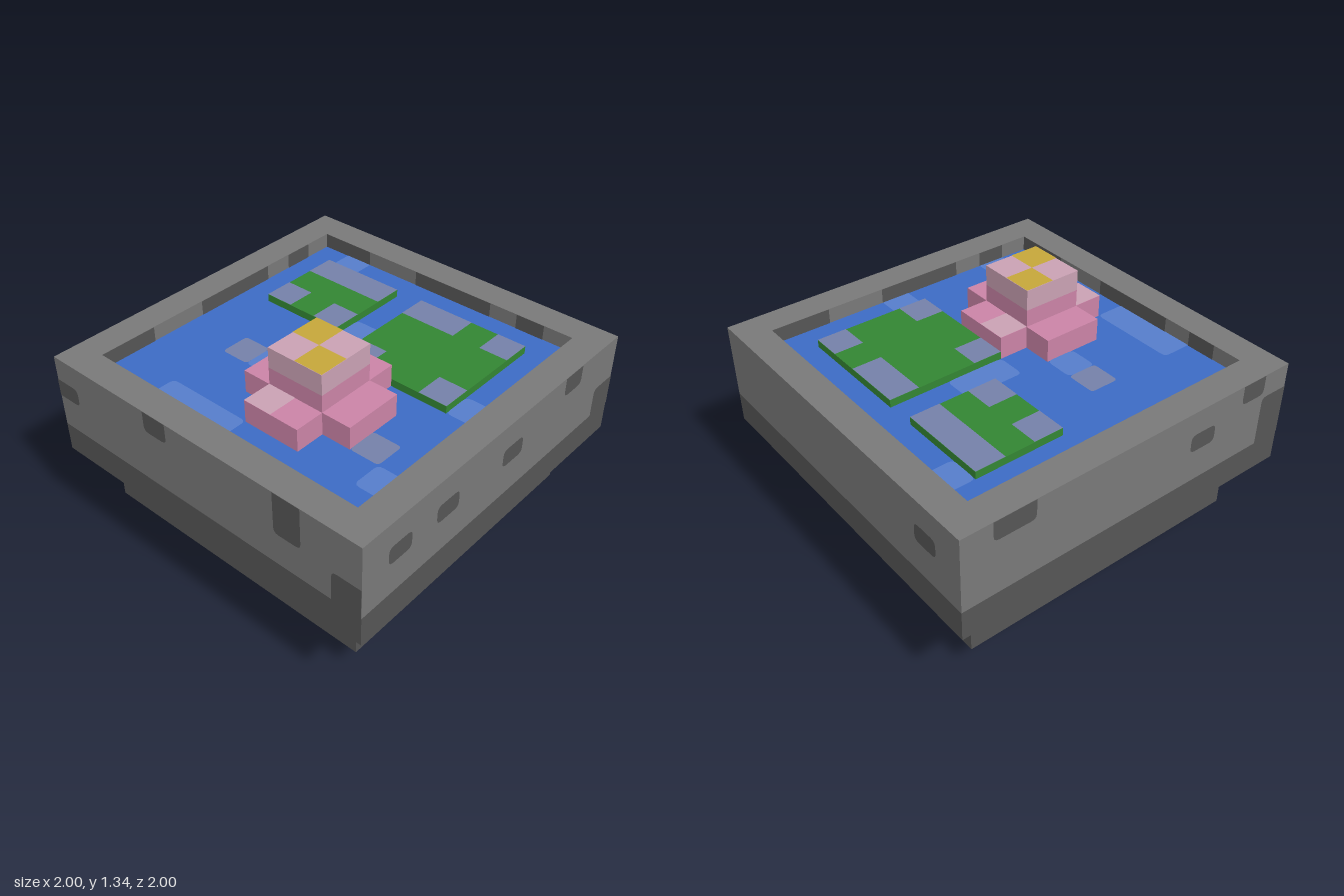
import * as THREE from 'three';

const C = 1 / 6; // one grid cell
const LIFT = 0.002; // painted faces sit just above their surface

const mat = (name, color, side = THREE.FrontSide) => {
  const m = new THREE.MeshStandardMaterial({ color, side });
  m.name = name;
  return m;
};

export function createModel() {
  const root = new THREE.Group();
  root.name = 'lilyPondBasin';

  const stone = mat('stone grey', 0x787878);
  const darkStone = mat('dark stone', 0x555555);
  const water = mat('water blue', 0x3c6bc4);
  const paleWater = mat('pale water', 0x557dca);
  const leaf = mat('leaf green', 0x338533);
  const haze = mat('grey blue', 0x7480a8);
  const pink = mat('petal pink', 0xca83a6);
  const palePink = mat('pale pink', 0xc9a1b3);
  const gold = mat('gold', 0xc5a63a);

  const group = (name, parent = root) => {
    const g = new THREE.Group();
    g.name = name;
    parent.add(g);
    return g;
  };

  // box given by its min and max corners
  const box = (name, parent, material, x0, x1, y0, y1, z0, z1) => {
    const m = new THREE.Mesh(new THREE.BoxGeometry(x1 - x0, y1 - y0, z1 - z0), material);
    m.position.set((x0 + x1) / 2, (y0 + y1) / 2, (z0 + z1) / 2);
    m.name = name;
    parent.add(m);
    return m;
  };

  // flat patch [u0, u1, v0, v1]; corners are rounded unless they touch the limits of the face
  const patch = (name, parent, material, [u0, u1, v0, v1], [a0, a1, b0, b1], r = 0.03) => {
    const hit = (p, q) => Math.abs(p - q) < 0.01;
    const L = hit(u0, a0), R = hit(u1, a1), B = hit(v0, b0), T = hit(v1, b1);
    const bl = L || B ? 0 : r, br = R || B ? 0 : r, tr = R || T ? 0 : r, tl = L || T ? 0 : r;
    const s = new THREE.Shape();
    s.moveTo(u0 + bl, v0);
    s.lineTo(u1 - br, v0);
    if (br) s.quadraticCurveTo(u1, v0, u1, v0 + br);
    s.lineTo(u1, v1 - tr);
    if (tr) s.quadraticCurveTo(u1, v1, u1 - tr, v1);
    s.lineTo(u0 + tl, v1);
    if (tl) s.quadraticCurveTo(u0, v1, u0, v1 - tl);
    s.lineTo(u0, v0 + bl);
    if (bl) s.quadraticCurveTo(u0, v0, u0 + bl, v0);
    const m = new THREE.Mesh(new THREE.ShapeGeometry(s, 3), material);
    m.name = name;
    parent.add(m);
  };

  // frame for painting on one upright side: 0 front, 1 left (+x), 2 back, 3 right (-x)
  const sideFrame = (name, k, dist) => {
    const g = group(name);
    const a = (k * Math.PI) / 2;
    g.rotation.y = a;
    g.position.set(Math.sin(a) * dist, 0, Math.cos(a) * dist);
    return g;
  };

  // frame for painting on a top face; cells are given as x0, x1, z0, z1 in grid cells
  const flatFrame = (name, y, down = false) => {
    const g = group(name);
    g.rotation.x = down ? Math.PI / 2 : -Math.PI / 2;
    g.position.y = y + (down ? -LIFT : LIFT);
    const put = (label, material, cells, limit, r) => cells.forEach(([x0, x1, z0, z1]) => {
      const v = down ? [z0 * C, z1 * C] : [-z1 * C, -z0 * C];
      patch(label, g, material, [x0 * C, x1 * C, ...v], [-limit, limit, -limit, limit], r);
    });
    return put;
  };

  // stacked stone body
  const IN = 5 * C;
  const bandFaces = [darkStone, darkStone, stone, stone, darkStone, darkStone];
  box('foot', root, stone, -0.5, 0.5, 0, C, -0.5, 0.5);
  box('lowerTier', root, bandFaces, -IN, IN, C, 0.5, -IN, IN);
  box('basinBand', root, bandFaces, -1, 1, 0.5, 4 * C, -1, 1);

  // square basin wall, open in the middle
  const ring = new THREE.Shape([[-1, -1], [1, -1], [1, 1], [-1, 1]].map((p) => new THREE.Vector2(...p)));
  ring.holes.push(new THREE.Path([[-IN, -IN], [-IN, IN], [IN, IN], [IN, -IN]].map((p) => new THREE.Vector2(...p))));
  const wall = new THREE.Mesh(
    new THREE.ExtrudeGeometry(ring, { depth: 6.5 * C - 4 * C, bevelEnabled: false }).rotateX(-Math.PI / 2), stone);
  wall.position.y = 4 * C;
  wall.name = 'basinWall';
  root.add(wall);
  box('water', root, water, -IN, IN, 4 * C, 1, -IN, IN);

  // dark stains on each outer side of the basin
  const TOP = 6.5 * C;
  const stains = [
    [[-1, -0.845, 0.85, 0.95], [-0.333, -0.18, 0.97, TOP], [0.5, 0.66, 0.85, TOP], [0.833, 1, 4 * C, 0.84]],
    [[-0.83, -0.675, 0.85, 0.95], [-0.5, -0.34, 0.85, 0.95], [0, 0.16, 0.85, 0.95],
      [0.51, 0.66, 0.975, TOP], [0.833, 1, 4 * C, 0.84]],
    [[0.675, 0.83, 0.85, 0.95]],
    [[-0.83, -0.6, 0.975, TOP], [0.34, 0.5, 0.85, 0.95], [0.68, 0.833, 0.975, TOP], [0.833, 1, 4 * C, 0.95]],
  ];
  const innerStains = [[-0.833, -0.5], [-0.167, 0.333], [0.5, 0.667]];
  for (let k = 0; k < 4; k++) {
    const outer = sideFrame('basinStains', k, 1 + LIFT);
    stains[k].forEach((r) => patch('stain', outer, darkStone, r, [-1, 1, 4 * C, TOP]));

    const inner = sideFrame('innerStains', k, -IN + LIFT);
    innerStains.forEach(([a, b]) => patch('innerStain', inner, darkStone, [a, b, 1, TOP], [-IN, IN, 1, TOP], 0));

    // light stone hanging over the lower tier, and the foot stain
    const tier = sideFrame('tierPatches', k, IN + LIFT);
    [[-5, -4], [-2, -1], [0, 5]].forEach(([a, b]) =>
      patch('lightStone', tier, stone, [a * C, b * C, 2 * C, 0.5], [-IN, IN, C, 0.5]));
    const foot = sideFrame('footStain', k, 0.5 + LIFT);
    patch('stain', foot, darkStone, [2 * C, 0.5, 0, C], [-0.5, 0.5, -1, 1]);
  }

  // stains underneath
  flatFrame('footUnderside', 0, true)('stain', darkStone,
    [[1, 2, -1, 0], [2, 3, 0, 1], [0, 1, -2, -1], [-2, -1, 0, 1], [-1, 1, 2, 3], [1, 2, 1, 2]], 0.5);
  flatFrame('tierUnderside', C, true)('stain', darkStone,
    [[3, 4, -5, -4], [0, 1, -5, -4], [4, 5, -1, 0], [4, 5, 4, 5], [-5, -4, 2, 3]], IN);

  // ripples on the water
  const ripple = flatFrame('ripples', 1);
  ripple('paleRipple', paleWater,
    [[-4, -3, -5, -4], [-1, 0, -2, 0], [4, 5, -1, 0], [-2, -1, 1, 2], [4, 5, 3, 4], [-3, 0, 4, 5]], IN);
  ripple('greyRipple', haze, [[-3, -2, 1, 2], [3, 4, 2, 3]], IN, 0.02);

  // floating leaves with greyish corners
  const PAD = 1 + C / 4;
  box('largeLeaf', root, leaf, 0, 4 * C, 1, PAD, -4 * C, 0);
  box('smallLeaf', root, leaf, -4 * C, -C, 1, PAD, -4 * C, -C);
  flatFrame('leafMarks', PAD)('leafMark', haze, [
    [0, 2, -4, -3], [3, 4, -4, -3], [0, 1, -1, 0], [3, 4, -1, 0],
    [-4, -1, -4, -3], [-4, -3, -2, -1], [-2, -1, -2, -1],
  ], IN, 0);

  // blossom: four low petals around a tall centre
  const flower = group('blossom');
  const PETAL = 1 + 0.75 * C;
  [[0, 2, 0, 1], [0, 2, 3, 4], [-1, 0, 1, 3], [2, 3, 1, 3]].forEach(([x0, x1, z0, z1]) =>
    box('petal', flower, pink, x0 * C, x1 * C, 1, PETAL, z0 * C, z1 * C));
  box('blossomCentre', flower, pink, 0, 2 * C, 1, 1.22, C, 3 * C);
  box('blossomCrown', flower, palePink, 0, 2 * C, 1.22, 8 * C, C, 3 * C);
  flatFrame('petalMarks', PETAL)('petalMark', palePink, [[0, 1, 0, 1], [0, 1, 3, 4]], IN, 0);
  flatFrame('stamens', 8 * C)('stamen', gold, [[0, 1, 1, 2], [1, 2, 2, 3]], IN, 0);

  return root;
}
